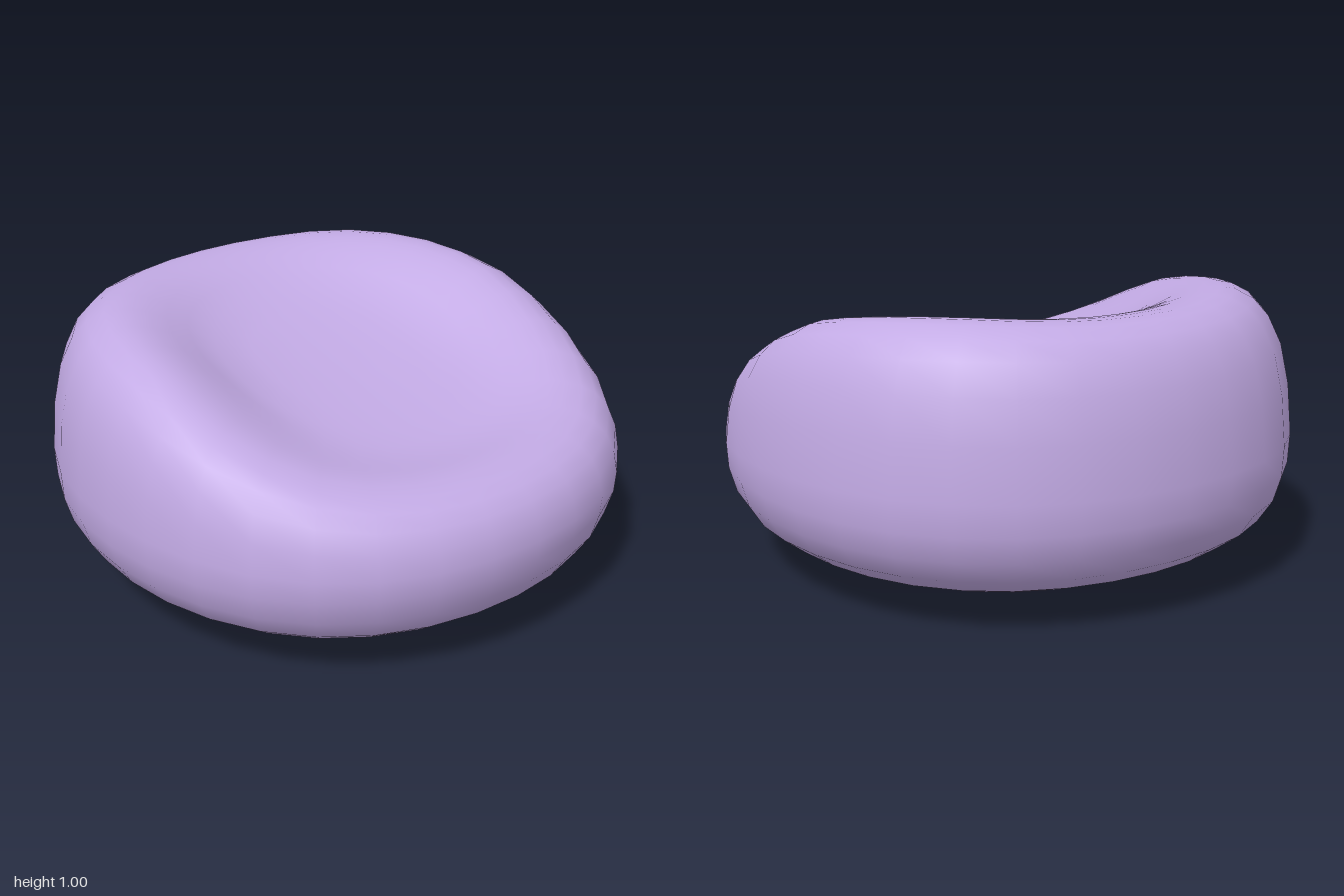
import * as THREE from 'three';
import { mergeVertices } from 'three/addons/utils/BufferGeometryUtils.js';

const SEGMENTS = 32;
const EQUATOR = 0.42;
const RIM_RADIUS = 0.75;

// Rim height from the front (first) to the back (last), evenly spaced in z
const rimCurve = new THREE.SplineCurve(
  [0.65, 0.695, 0.78, 0.87, 0.94, 0.975, 0.995, 1.0, 0.985]
    .map((y, i) => new THREE.Vector2(i, y)));
const rimHeight = (c) => rimCurve.getPoint((1 - c) / 2).y;

// Underside: radius, height
const underside = [[0, 0], [0.2, 0.007], [0.4, 0.025], [0.57, 0.055], [0.72, 0.09],
  [0.84, 0.14], [0.92, 0.2], [0.97, 0.28], [0.995, 0.37]];
// Outer wall: radius, fraction of the way from the equator to the rim
const wall = [[1, 0.1], [0.985, 0.41], [0.955, 0.66], [0.91, 0.83], [0.86, 0.93],
  [0.8, 0.985], [RIM_RADIUS, 1]];
// Dished seat: radii from the rim to the middle
const seat = [0.7, 0.65, 0.59, 0.52, 0.43, 0.3, 0.15, 0];

// Gently bowled seat floor, tilted down to the front
function floorHeight(r, c) {
  const z = r * c;
  return 0.775 - 0.26 * z + 0.13 * (r * r - z * z);
}

function createCushionGeometry() {
  const rings = [
    ...underside.map(([r, y]) => ({ r, height: () => y })),
    ...wall.map(([r, f]) => ({ r, height: (c) => EQUATOR + f * (rimHeight(c) - EQUATOR) })),
    ...seat.map((r) => {
      const w = THREE.MathUtils.smoothstep(r, 0.36, RIM_RADIUS + 0.01);
      return { r, height: (c) => THREE.MathUtils.lerp(floorHeight(r, c), rimHeight(c), w) };
    }),
  ];

  const positions = [];
  const indices = [];
  for (const { r, height } of rings) {
    for (let j = 0; j < SEGMENTS; j++) {
      const a = (j / SEGMENTS) * Math.PI * 2;
      // Slightly squared plan outline
      const radius = r * (1 + 0.03 * r * Math.sin(2 * a) ** 2);
      positions.push(Math.sin(a) * radius, height(Math.cos(a)), Math.cos(a) * radius);
    }
  }
  // Join neighbouring rings; the two poles get single triangles
  for (let i = 0; i < rings.length - 1; i++) {
    for (let j = 0; j < SEGMENTS; j++) {
      const a = i * SEGMENTS + j, b = i * SEGMENTS + (j + 1) % SEGMENTS;
      const c = b + SEGMENTS, d = a + SEGMENTS;
      if (rings[i].r > 0) indices.push(a, b, d);
      if (rings[i + 1].r > 0) indices.push(b, c, d);
    }
  }

  const open = new THREE.BufferGeometry();
  open.setAttribute('position', new THREE.Float32BufferAttribute(positions, 3));
  open.setIndex(indices);
  const geometry = mergeVertices(open, 1e-4);
  geometry.computeVertexNormals();
  return geometry;
}

export function createModel() {
  const fabric = new THREE.MeshStandardMaterial({ color: 0xc2aae4 });
  fabric.name = 'lilac fabric';

  const cushion = new THREE.Mesh(createCushionGeometry(), fabric);
  cushion.name = 'beanbagCushion';

  const group = new THREE.Group();
  group.name = 'beanbagChair';
  group.add(cushion);
  return group;
}
